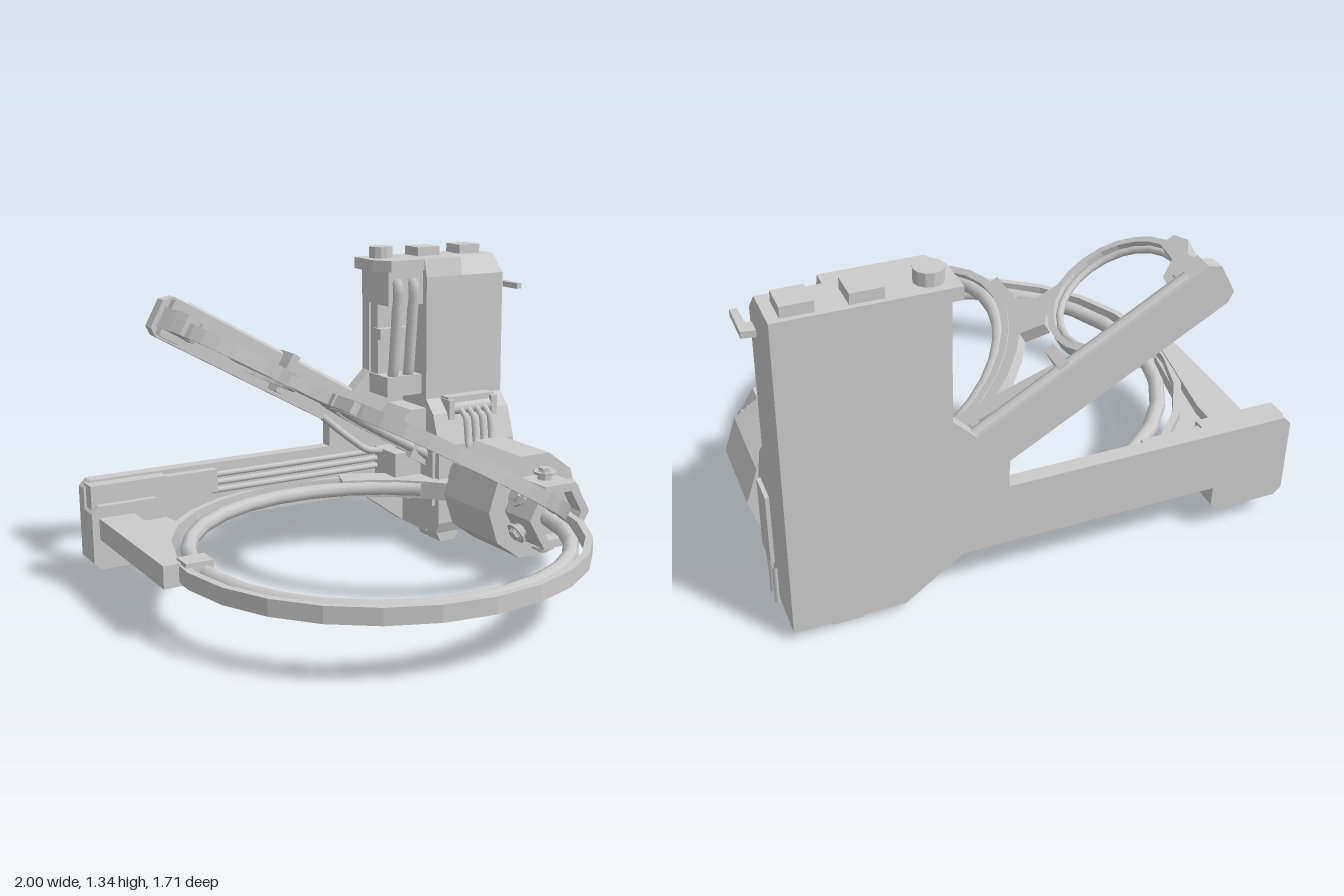
import * as THREE from 'three';

const flat = new THREE.MeshStandardMaterial({ color: 0xcccccc, flatShading: true });
const smooth = new THREE.MeshStandardMaterial({ color: 0xcccccc });
const DEG = Math.PI / 180;

function add(parent, name, geo, mat = flat) {
  const m = new THREE.Mesh(geo, mat);
  m.name = name;
  parent.add(m);
  return m;
}
// box given by its limits on each axis
function box(parent, name, [x0, x1], [y0, y1], [z0, z1]) {
  const g = new THREE.BoxGeometry(x1 - x0, y1 - y0, z1 - z0);
  return add(parent, name, g.translate((x0 + x1) / 2, (y0 + y1) / 2, (z0 + z1) / 2));
}
const shapeOf = pts => new THREE.Shape(pts.map(p => new THREE.Vector2(...p)));
const extrude = (shape, depth) =>
  new THREE.ExtrudeGeometry(shape, { depth, bevelEnabled: false, curveSegments: 1 });
// outline in x,y pushed from z0 to z1
const plateXY = (p, name, pts, z0, z1) =>
  add(p, name, extrude(shapeOf(pts), z1 - z0).translate(0, 0, z0));
// outline in x,z between heights y0 and y1
const plateXZ = (p, name, pts, y0, y1) =>
  add(p, name, extrude(shapeOf(pts), y1 - y0).rotateX(Math.PI / 2).translate(0, y1, 0));
// outline in z,y between x0 and x1
const plateZY = (p, name, pts, x0, x1) =>
  add(p, name, extrude(shapeOf(pts), x1 - x0).rotateY(-Math.PI / 2).translate(x1, 0, 0));

// horizontal flat band along an arc, angles measured from +x towards +z
function arcBand(p, name, cx, cz, r0, r1, a0, a1, y0, y1, n = 22) {
  const pts = [];
  for (let i = 0; i <= n; i++) pts.push([r1, a0 + (a1 - a0) * i / n]);
  for (let i = n; i >= 0; i--) pts.push([r0, a0 + (a1 - a0) * i / n]);
  return plateXZ(p, name, pts.map(([r, a]) =>
    [cx + r * Math.cos(a * DEG), cz + r * Math.sin(a * DEG)]), y0, y1);
}
function arcTube(p, name, cx, cz, r, t, a0, a1, n = 24) {
  const g = new THREE.TorusGeometry(r, t, 8, n, (a1 - a0) * DEG);
  return add(p, name, g.rotateZ(a0 * DEG).rotateX(Math.PI / 2).translate(cx, 0, cz), smooth);
}
function pipe(p, name, pts, r) {
  const path = new THREE.CurvePath();
  const v = pts.map(a => new THREE.Vector3(...a));
  const curve = v.length === 2 ? new THREE.LineCurve3(...v) : new THREE.CatmullRomCurve3(v, false, 'catmullrom', 0.2);
  path.add(curve);
  return add(p, name, new THREE.TubeGeometry(curve, v.length === 2 ? 1 : 16, r, 8), smooth);
}
// prism along z with flat sides on top and bottom
function prismZ(p, name, r, sides, z0, z1) {
  const g = new THREE.CylinderGeometry(r, r, z1 - z0, sides);
  return add(p, name, g.rotateY(Math.PI / 2).rotateX(Math.PI / 2).translate(0, 0, (z0 + z1) / 2));
}

function buildBase(g) {
  plateXY(g, 'backPlate', [[.95, .04], [.95, 1.29], [.36, 1.29], [.36, .78], [.27, .69], [-.57, 1.18],
    [-.62, 1.17], [-.68, 1.06], [-.66, 1.02], [.15, .56], [.15, .45], [-.97, .45], [-1, .42], [-1, .12],
    [-.97, .09], [-.72, .09], [-.69, .12], [-.69, .2], [.32, .2], [.54, .04]], -.86, -.8);

  // tower with sloped upper front
  plateZY(g, 'tower', [[-.82, .04], [-.6, .04], [-.6, 1.21], [-.68, 1.29], [-.82, 1.29]], .73, .95);
  plateZY(g, 'towerInner', [[-.82, .04], [-.6, .04], [-.6, 1.21], [-.62, 1.29], [-.82, 1.29]], .54, .73);
  plateXZ(g, 'columnHead', [[.32, -.86], [.54, -.86], [.54, -.62], [.37, -.62], [.32, -.7]], 1.24, 1.29);
  box(g, 'columnCollar', [.36, .54], [1.09, 1.24], [-.82, -.63]);
  box(g, 'columnCore', [.37, .54], [.77, 1.09], [-.82, -.74]);
  box(g, 'columnFoot', [.36, .54], [.68, .77], [-.82, -.64]);
  box(g, 'columnClamp', [.36, .54], [.93, .98], [-.76, -.7]);
  for (const x of [.405, .485])
    pipe(g, 'columnPipe', [[x, .74, -.68], [x, .8, -.66], [x, 1.16, -.62], [x, 1.2, -.64]], .025);
  add(g, 'roundButton', new THREE.CylinderGeometry(.053, .053, .06, 12).translate(.41, 1.31, -.78));
  box(g, 'squareButton', [.575, .69], [1.28, 1.33], [-.84, -.73]);
  box(g, 'squareButton', [.8, .91], [1.28, 1.33], [-.84, -.73]);
  box(g, 'bottomPeg', [.69, .8], [0, .05], [-.83, -.72]);
  plateXZ(g, 'sidePeg', [[.94, -.68], [1, -.67], [1, -.52], [.975, -.52], [.97, -.62], [.94, -.62]], 1.14, 1.165);

  // lower housing with side panel, feet and hose connector
  plateZY(g, 'housing', [[-.69, .05], [-.51, .05], [-.49, .1], [-.49, .46], [-.54, .6], [-.6, .66], [-.69, .66]], .54, .95);
  box(g, 'sidePanel', [.94, .965], [.18, .47], [-.64, -.52]);
  box(g, 'sidePanelInner', [.525, .55], [.18, .47], [-.64, -.52]);
  for (const z of [-.6, -.66]) pipe(g, 'sideRod', [[.955, .02, z], [.955, .18, z]], .012);
  for (const x of [.61, .88])
    plateXY(g, 'foot', [[x - .06, .05], [x - .04, .005], [x + .04, .005], [x + .06, .05]], -.69, -.52);
  box(g, 'connectorTop', [.62, .87], [.64, .67], [-.62, -.54]);
  for (const x of [.63, .86]) box(g, 'connectorSide', [x - .015, x + .015], [.57, .66], [-.62, -.52]);
  add(g, 'connectorRoll', new THREE.CylinderGeometry(.03, .03, .2, 10).rotateZ(Math.PI / 2).translate(.745, .615, -.55), smooth);
  for (const x of [.68, .723, .767, .81])
    pipe(g, 'hose', [[x, .62, -.54], [x, .58, -.485], [x, .48, -.47], [x, .44, -.45], [x, .42, -.39]], .013);

  // brackets between tower and the two arms
  plateXY(g, 'upperBracket', [[.39, .55], [.46, .62], [.55, .62], [.55, .42], [.48, .42]], -.82, -.6);
  plateXY(g, 'lowerBracket', [[.39, .42], [.55, .42], [.55, .2], [.46, .2], [.39, .25]], -.82, -.62);
  pipe(g, 'bracketPipe', [[.1, .6, -.77], [.18, .53, -.77], [.32, .42, -.76], [.42, .41, -.74], [.56, .41, -.7]], .016);
}

function buildLowerArm(g) {
  plateXY(g, 'endTab', [[-1, .12], [-.97, .09], [-.72, .09], [-.69, .12], [-.69, .33], [-.72, .36],
    [-.97, .36], [-1, .33]], -.82, -.71);
  box(g, 'endBlock', [-.99, -.66], [.33, .44], [-.82, -.74]);
  box(g, 'armBlock', [-.66, -.42], [.33, .43], [-.82, -.76]);
  for (const y of [.33, .365, .4]) pipe(g, 'armRod', [[-.44, y, -.79], [.42, y, -.79]], .013);
  plateXZ(g, 'ringBracket', [[-.97, -.72], [-.68, -.72], [-.66, -.58], [-.82, -.32], [-.88, -.02], [-.97, -.02]], .22, .27);
  plateXZ(g, 'bracketRail', [[-.97, -.72], [-.82, -.72], [-.82, -.5], [-.9, -.02], [-.97, -.02]], .26, .31);
  box(g, 'ringClip', [-.9, -.79], [.225, .32], [-.06, .03]);

  const ring = new THREE.Group();
  ring.name = 'largeRing';
  ring.position.y = .27;
  g.add(ring);
  arcBand(ring, 'largeRingBand', -.07, .01, .815, .845, 8, 315, -.033, .033);
  arcTube(ring, 'largeRingTube', -.07, .02, .755, .032, 8, 315);
  arcBand(ring, 'largeRingMount', -.07, .01, .74, .86, 288, 325, -.04, .04, 4);
}

// built flat, then tilted about the hub; local x runs along the arm
function buildUpperArm(root) {
  const g = new THREE.Group();
  g.name = 'upperArm';
  g.position.set(.78, .27, 0);
  g.rotation.z = -30 * DEG;
  root.add(g);

  pipe(g, 'topRod', [[-1.55, .1, -.825], [-.42, .1, -.825]], .024);
  pipe(g, 'innerRod', [[-1.5, .02, -.8], [-.5, .02, -.8]], .016);
  box(g, 'endCap', [-1.63, -1.52], [-.06, .1], [-.82, -.76]);
  plateXZ(g, 'endHook', [[-1.64, -.8], [-1.48, -.8], [-1.5, -.7], [-1.57, -.65], [-1.58, -.55], [-1.64, -.55],
    [-1.66, -.62], [-1.62, -.68]], -.03, .06);
  plateXY(g, 'armClamp', [[-1.05, -.05], [-1.01, -.05], [-1.01, .13], [-1.05, .13]], -.84, -.72);

  // truss
  plateXZ(g, 'trussChord', [[-1.05, -.77], [-1.01, -.8], [-.5, -.67], [-.45, -.62], [-.62, -.63], [-1.03, -.72]], .01, .05);
  for (const [u, z] of [[-.93, -.74], [-.8, -.71], [-.67, -.67], [-.56, -.65]])
    box(g, 'trussPost', [u - .015, u + .015], [.01, .05], [-.82, z]);

  // two rings joined by a neck
  arcBand(g, 'mediumRingBand', -.485, -.135, .515, .545, 29, 290, -.03, .03);
  arcTube(g, 'mediumRingTube', -.485, -.135, .49, .026, 29, 300);
  arcBand(g, 'ringWeb', -.485, -.135, .53, .59, 188, 295, -.025, .025, 10);
  arcBand(g, 'smallRingBand', -1.35, -.585, .25, .275, 0, 360, -.03, .03, 24);
  arcTube(g, 'smallRingTube', -1.35, -.585, .238, .014, 0, 360);
  plateXZ(g, 'ringNeck', [[-1.22, -.34], [-1.12, -.43], [-1.08, -.48], [-.94, -.42], [-1.0, -.24], [-1.02, -.08],
    [-1.06, -.08], [-1.06, -.26], [-1.12, -.33]], -.025, .025);
  box(g, 'mediumRingMount', [-.36, -.24], [-.05, .06], [-.72, -.58]);
}

function buildHub(root) {
  const g = new THREE.Group();
  g.name = 'hub';
  g.position.set(.745, .27, 0);
  root.add(g);
  prismZ(g, 'hubNeck', .17, 10, -.5, -.39);
  prismZ(g, 'barrel', .238, 10, -.395, -.05);
  prismZ(g, 'hexCore', .15, 6, -.06, .06);

  // hollow hexagonal nose
  const hex = r => [0, 1, 2, 3, 4, 5].map(i => [r * Math.cos(i * 60 * DEG), r * Math.sin(i * 60 * DEG)]);
  const nose = shapeOf(hex(.157));
  nose.holes.push(new THREE.Path(hex(.115).reverse().map(p => new THREE.Vector2(...p))));
  add(g, 'hexNose', extrude(nose, .18).translate(0, 0, -.05));

  // one bolt per hexagon face
  for (let i = 0; i < 6; i++) {
    const bolt = new THREE.Group();
    bolt.name = 'bolt';
    bolt.rotation.z = i * 60 * DEG;
    bolt.position.z = .02;
    g.add(bolt);
    add(bolt, 'boltShank', new THREE.CylinderGeometry(.032, .032, .06, 10).translate(0, .145, 0));
    add(bolt, 'boltFlange', new THREE.CylinderGeometry(.05, .05, .012, 10).translate(0, .165, 0));
    add(bolt, 'boltHead', new THREE.CylinderGeometry(.027, .03, .016, 6).translate(0, .178, 0));
  }
}

export function createModel() {
  const model = new THREE.Group();
  model.name = 'ringArmMount';
  buildBase(model);
  buildLowerArm(model);
  buildUpperArm(model);
  buildHub(model);
  return model;
}
